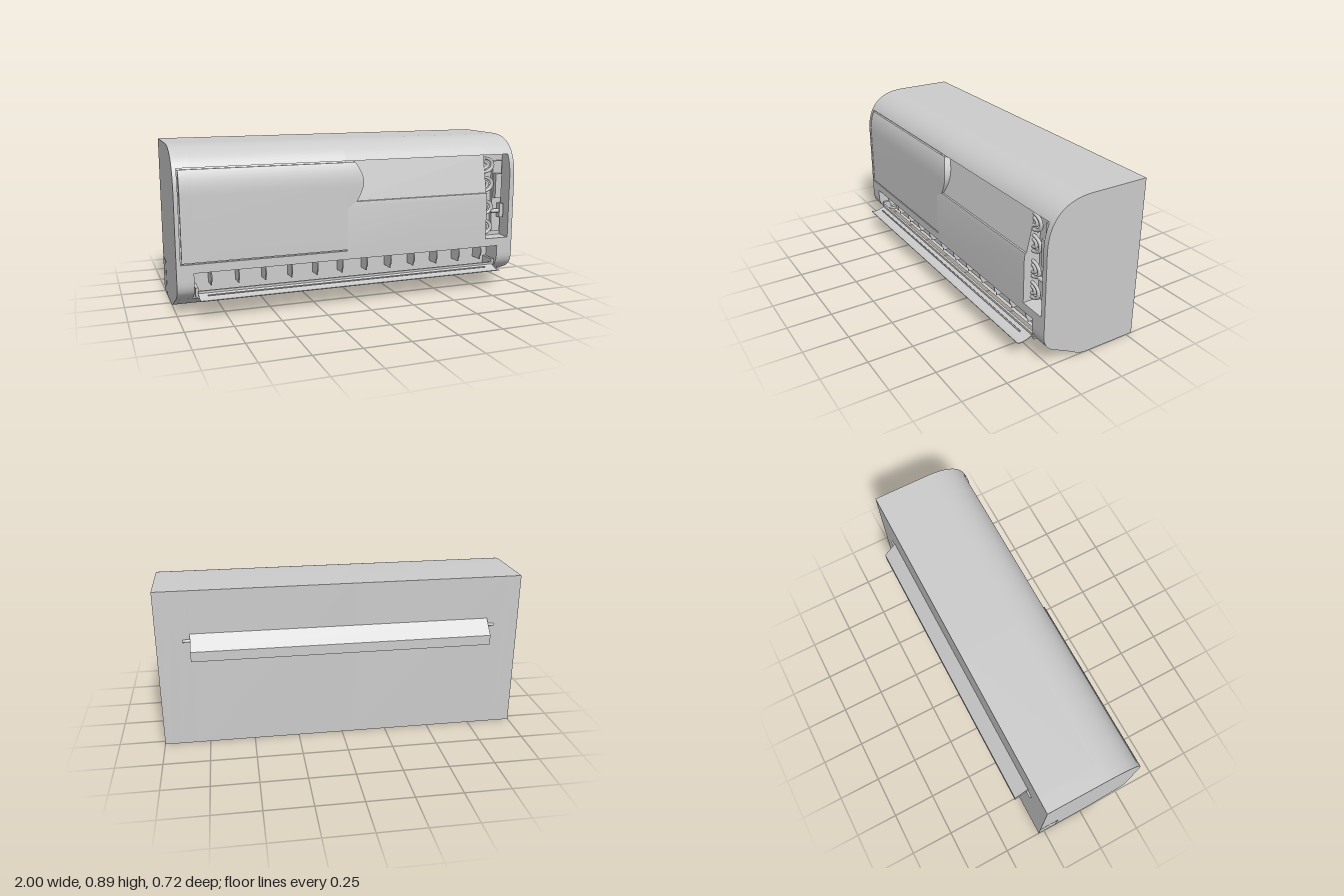
import * as THREE from 'three';
import { toCreasedNormals } from 'three/addons/utils/BufferGeometryUtils.js';

const grey = new THREE.MeshStandardMaterial({ color: 0xcccccc });
const thin = new THREE.MeshStandardMaterial({ color: 0xcccccc, side: THREE.DoubleSide });
const BACK = -0.285;

// Front contour as (z, y), from the underside up to the roof
const contour = new THREE.Path();
contour.moveTo(0.03, 0);
contour.bezierCurveTo(0.08, 0.005, 0.11, 0.035, 0.2, 0.075);
contour.bezierCurveTo(0.25, 0.095, 0.29, 0.12, 0.29, 0.19);
contour.lineTo(0.29, 0.64);
contour.bezierCurveTo(0.29, 0.81, 0.2, 0.89, 0.04, 0.89);
const front = contour.getPoints(20);

function frontZ(y) {
  for (let i = 1; i < front.length; i++) {
    const a = front[i - 1], b = front[i];
    if (y <= b.y && b.y > a.y) return a.x + (b.x - a.x) * (y - a.y) / (b.y - a.y);
  }
  return 0.04;
}

// A notch replaces the contour between two heights with inner (z, y) points
const notch = (lo, hi, inner) => ({ lo, hi, inner });
const groove = (lo, hi) => notch(lo, hi, [lo, (lo + hi) / 2, hi].map(y => [frontZ(y) - 0.012, y]));

// Extrudes a (z, y) outline between two x positions
function extrudeX(points, x0, x1) {
  const shape = new THREE.Shape(points.map(([z, y]) => new THREE.Vector2(-z, y)));
  const geo = new THREE.ExtrudeGeometry(shape, { depth: x1 - x0, bevelEnabled: false });
  geo.translate(0, 0, x0).rotateY(Math.PI / 2);
  return toCreasedNormals(geo, 0.45);
}

function bodyOutline(notches, slitFront) {
  const pts = [[BACK, 0.89], [BACK, 0]];
  if (slitFront !== null) pts.push([-0.275, 0], [-0.275, 0.08], [slitFront, 0.08], [slitFront, 0]);
  let y = -1;
  const copyTo = limit => front.forEach(p => { if (p.y > y && p.y < limit) pts.push([p.x, p.y]); });
  for (const n of notches) {
    copyTo(n.lo);
    pts.push([frontZ(n.lo), n.lo], ...n.inner, [frontZ(n.hi), n.hi]);
    y = n.hi;
  }
  copyTo(2);
  return pts;
}

export function createModel() {
  const group = new THREE.Group();
  const add = (name, geo, mat = grey, parent = group) => {
    const mesh = new THREE.Mesh(geo, mat);
    mesh.name = name;
    parent.add(mesh);
    return mesh;
  };
  const box = (name, x0, x1, y0, y1, z0, z1, parent) =>
    add(name, new THREE.BoxGeometry(x1 - x0, y1 - y0, z1 - z0), grey, parent)
      .position.set((x0 + x1) / 2, (y0 + y1) / 2, (z0 + z1) / 2);
  const sub = name => {
    const g = new THREE.Group();
    g.name = name;
    group.add(g);
    return g;
  };

  // Housing, in sections across the width
  const outlet = notch(0.07, 0.235, [[0.17, 0.072], [0.17, 0.235]]);
  const lowGroove = groove(0.283, 0.29), topGroove = groove(0.774, 0.782);
  const slabZ = y => 0.278 - (y - 0.56) * 0.22;
  const coilFace = notch(0.53, 0.782, [[0.286, 0.558], [slabZ(0.56), 0.56], [slabZ(0.782), 0.782]]);
  const bay = notch(0.283, 0.782, [[0.2, 0.283], [0.2, 0.782]]);
  const housing = sub('housing');
  [
    [-1, -0.978, [], null],
    [-0.978, -0.971, [groove(0.283, 0.782)], null],
    [-0.971, -0.91, [lowGroove, topGroove], -0.12],
    [-0.91, -0.06, [outlet, lowGroove, topGroove], -0.2],
    [-0.06, 0.82, [outlet, coilFace], -0.2],
    [0.82, 0.9, [outlet, bay], -0.2],
    [0.9, 0.97, [bay], null],
    [0.97, 1, [], null],
  ].forEach(([x0, x1, notches, slit]) =>
    add('housingSection', extrudeX(bodyOutline(notches, slit), x0, x1), grey, housing));

  // Front cover edge with its wavy cut, and the wall behind that edge
  const waveX = y => y < 0.56
    ? -0.05 + (y - 0.53) / 0.03 * 0.045
    : -0.005 + 0.04 * Math.sin(Math.PI * (y - 0.56) / 0.215);
  const sheet = (name, place) => {
    const geo = new THREE.PlaneGeometry(1, 1, 1, 24);
    const p = geo.attributes.position;
    for (let i = 0; i < p.count; i++) {
      const y = 0.53 + (p.getY(i) + 0.5) * 0.245;
      const [x, z] = place(p.getX(i) + 0.5, y);
      p.setXYZ(i, x, y, z);
    }
    geo.computeVertexNormals();
    add(name, geo, thin);
  };
  sheet('coverEdge', (u, y) => [-0.06 + u * (waveX(y) + 0.06), frontZ(y)]);
  sheet('coverEdgeWall', (u, y) => [waveX(y), frontZ(y) - u * 0.05]);

  // Service bay: pipe bends, terminal box and valve
  const bay3d = sub('serviceBay');
  for (const y of [0.72, 0.605, 0.465, 0.345]) {
    for (const r of [0.042, 0.019]) {
      const bend = add('pipeBend', new THREE.TorusGeometry(r, 0.009, 8, 16, Math.PI), grey, bay3d);
      bend.rotation.z = -Math.PI / 2;
      bend.scale.y = 1.4;
      bend.position.set(0.82, y, 0.24);
    }
  }
  box('bayPlate', 0.895, 0.955, 0.31, 0.74, 0.2, 0.222, bay3d);
  box('terminalBox', 0.9, 0.94, 0.52, 0.665, 0.222, 0.25, bay3d);
  box('valveBody', 0.93, 0.955, 0.4, 0.485, 0.222, 0.255, bay3d);
  const stem = add('valveStem', new THREE.CylinderGeometry(0.012, 0.012, 0.06, 12), grey, bay3d);
  stem.rotation.z = Math.PI / 2;
  stem.position.set(0.905, 0.44, 0.24);

  // Air guide vanes in the outlet, and tabs in the rear underside slit
  const vanes = sub('guideVanes'), tabs = sub('rearTabs');
  for (let i = 0; i < 12; i++) {
    const x = -0.815 + i * 0.1475;
    const vane = add('guideVane', new THREE.CylinderGeometry(0.05, 0.05, 0.006, 20), grey, vanes);
    vane.rotation.z = Math.PI / 2;
    vane.position.set(x, 0.2, 0.215);
    box('vaneRoot', x - 0.003, x + 0.003, 0.15, 0.235, 0.17, 0.25, vanes);
    box('rearTab', x - 0.012, x + 0.012, 0.01, 0.08, -0.235, -0.2, tabs);
  }

  // Curved outlet flap with hinge rail and rod
  const flapTop = new THREE.SplineCurve([
    new THREE.Vector2(0.36, 0.104), new THREE.Vector2(0.335, 0.101),
    new THREE.Vector2(0.3, 0.108), new THREE.Vector2(0.262, 0.126),
  ]).getPoints(12).map(p => [p.x, p.y]);
  const flapLow = flapTop.map(([z, y]) => [z, y - 0.004]).reverse();
  add('flap', extrudeX([...flapTop, ...flapLow], -0.89, 0.88));
  box('flapRail', -0.89, 0.88, 0.12, 0.132, 0.262, 0.275);
  const rod = add('flapRod', new THREE.CylinderGeometry(0.004, 0.004, 1.66, 8));
  rod.rotation.z = Math.PI / 2;
  rod.position.set(-0.015, 0.115, 0.302);
  for (const x of [-0.895, 0.885]) box('flapPivot', x - 0.008, x + 0.008, 0.1, 0.15, 0.17, 0.27);

  // Slanted wall bracket on the back, with its pin
  add('wallBracket', extrudeX(
    [[BACK, 0.65], [-0.36, 0.575], [-0.36, 0.52], [BACK, 0.59]], -0.82, 0.82));
  const pin = add('bracketPin', new THREE.CylinderGeometry(0.008, 0.008, 1.72, 12));
  pin.rotation.z = Math.PI / 2;
  pin.position.set(0, 0.612, -0.287);

  // Pipe knockout outline on the right end
  const knockout = sub('pipeKnockout');
  box('knockoutSide', -1.001, -0.999, 0, 0.2, -0.172, -0.168, knockout);
  box('knockoutTop', -1.001, -0.999, 0.196, 0.2, BACK, -0.17, knockout);

  return group;
}
